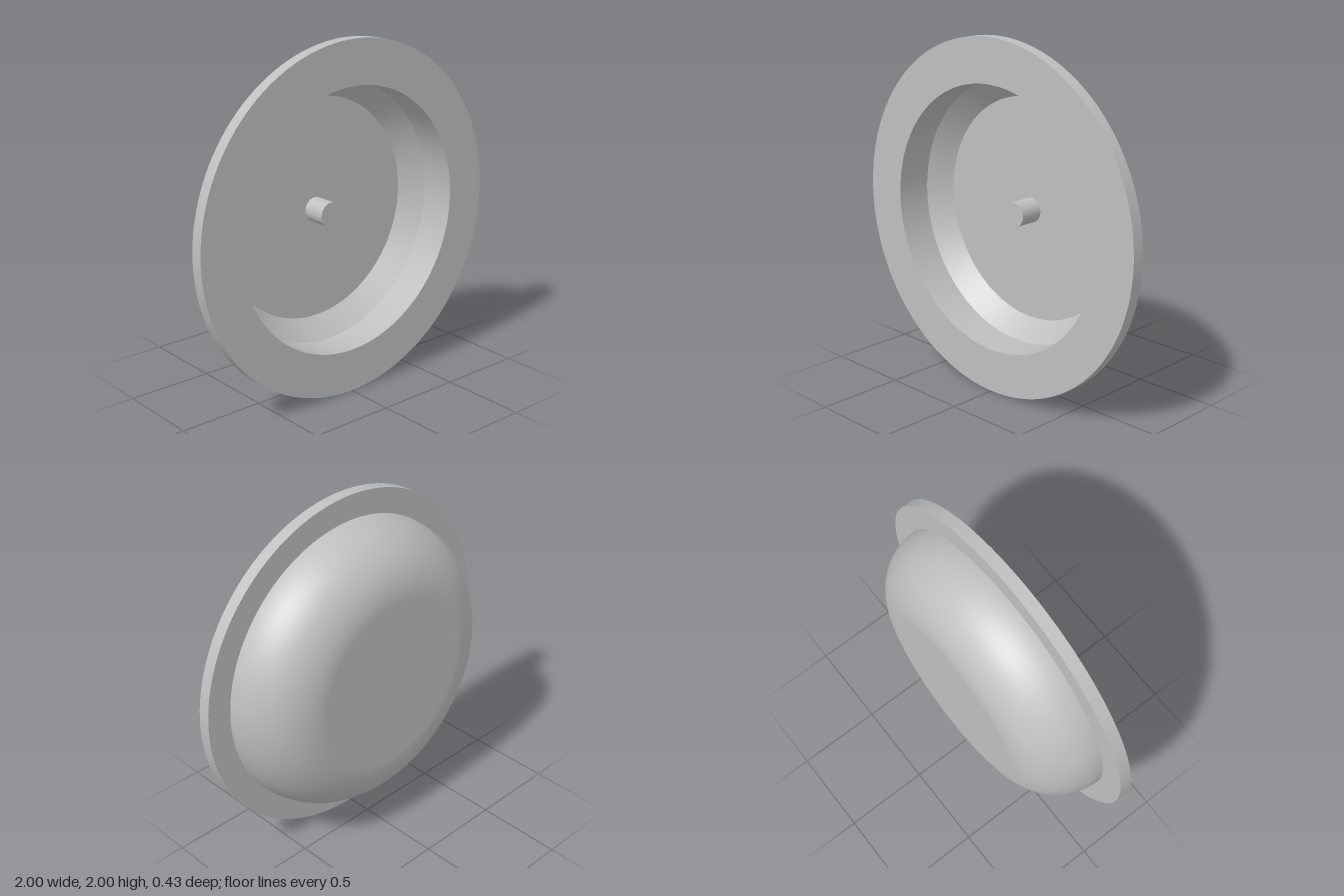
import * as THREE from 'three';

const SEGMENTS = 128;
const FRONT = 0.213, FLANGE_BACK = 0.143, BACK = -0.213;
const FLOOR = -0.107, WALL_END = 0.005;

export function createModel() {
  const model = new THREE.Group();
  model.name = 'flangedDish';
  const grey = new THREE.MeshStandardMaterial({ color: 0xbfbfbf });
  grey.name = 'plain grey';

  // Dish turned about the z axis; each band is separate so its edges stay crisp
  const dish = new THREE.Group();
  dish.name = 'dish';
  dish.position.y = 1;
  model.add(dish);

  const turn = (name, points) => {
    const profile = points.map(([r, z]) => new THREE.Vector2(r, z));
    const geometry = new THREE.LatheGeometry(profile, SEGMENTS);
    geometry.rotateX(Math.PI / 2);
    const mesh = new THREE.Mesh(geometry, grey);
    mesh.name = name;
    dish.add(mesh);
  };

  // Rounded back: flat centre running into a quarter-circle shoulder
  const shoulder = FLANGE_BACK - BACK;
  const bowl = [[0, BACK], [0.49, BACK]];
  for (let i = 0; i <= 32; i++) {
    const a = (i / 32) * Math.PI / 2;
    bowl.push([0.5 + shoulder * Math.sin(a), FLANGE_BACK - shoulder * Math.cos(a)]);
  }
  const bowlRadius = 0.5 + shoulder;
  turn('bowlBack', bowl);

  // Flat rim
  turn('flangeBack', [[bowlRadius, FLANGE_BACK], [1, FLANGE_BACK]]);
  turn('flangeEdge', [[1, FLANGE_BACK], [1, FRONT]]);
  turn('flangeFront', [[1, FRONT], [0.75, FRONT]]);

  // Recess: straight wall, sloped corner and flat floor
  turn('recessWall', [[0.75, FRONT], [0.75, WALL_END]]);
  turn('recessSlope', [[0.75, WALL_END], [0.64, FLOOR]]);
  turn('recessFloor', [[0.64, FLOOR], [0, FLOOR]]);

  // Central post
  const postLength = 0.14;
  const postGeometry = new THREE.CylinderGeometry(0.07, 0.07, postLength, 48);
  postGeometry.rotateX(Math.PI / 2);
  const post = new THREE.Mesh(postGeometry, grey);
  post.name = 'centrePost';
  post.position.z = FLOOR + postLength / 2;
  dish.add(post);

  return model;
}
